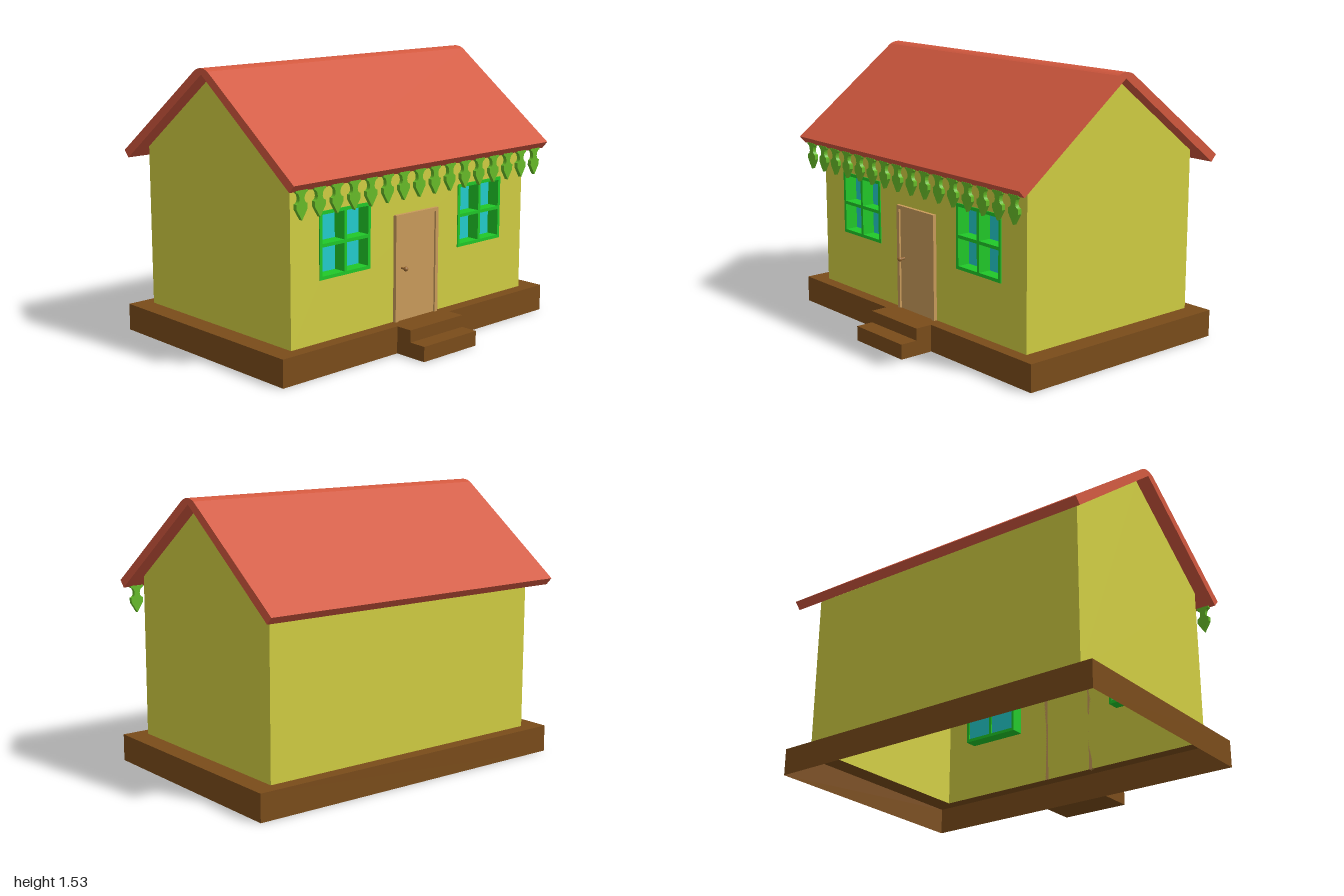
import * as THREE from 'three';

const mat = (color, side = THREE.FrontSide) => new THREE.MeshStandardMaterial({ color, side });

const polygon = (pts) => new THREE.Shape(pts.map(([x, y]) => new THREE.Vector2(x, y)));
const rect = (x0, y0, x1, y1) => polygon([[x0, y0], [x1, y0], [x1, y1], [x0, y1]]);

function add(parent, name, geometry, material, x = 0, y = 0, z = 0) {
  const mesh = new THREE.Mesh(geometry, material);
  mesh.name = name;
  mesh.position.set(x, y, z);
  parent.add(mesh);
  return mesh;
}

// Extrudes a profile centred on the extrusion axis
function slab(shape, depth, curveSegments = 8) {
  return new THREE.ExtrudeGeometry(shape, { depth, bevelEnabled: false, curveSegments }).translate(0, 0, -depth / 2);
}
// Turns a piece drawn in the xy plane so it faces +x
const faceSide = (geometry) => geometry.rotateY(Math.PI / 2);

export function createModel() {
  const house = new THREE.Group();
  house.name = 'house';

  const wallMat = mat(0xd0cd42, THREE.DoubleSide);
  const baseMat = mat(0x7a4c1a, THREE.DoubleSide);
  const roofMat = mat(0xd2583e);
  const frameMat = mat(0x20c828);
  const glassMat = mat(0x22cccc, THREE.DoubleSide);
  const doorMat = mat(0xc99b5a);
  const knobMat = mat(0x9a6a34);
  const leafMat = mat(0x66bb28);

  const wallL = -0.665, wallR = 0.52, wallZ = 0.885;
  const floorY = 0.15, eaveY = 1.045, ridgeX = -0.073, ridgeY = 1.492;
  const windowZ = 0.515, windowY = 0.657, windowHalf = 0.178;

  // Plinth: hollow skirt with a top ledge around the walls
  const plinth = new THREE.Group();
  plinth.name = 'plinth';
  house.add(plinth);
  const baseL = -0.74, baseR = 0.592, baseMid = (baseL + baseR) / 2;
  for (const s of [-1, 1]) {
    add(plinth, 'plinthEnd', new THREE.PlaneGeometry(baseR - baseL, floorY), baseMat, baseMid, floorY / 2, s);
    add(plinth, 'plinthSide', faceSide(new THREE.PlaneGeometry(2, floorY)), baseMat, s > 0 ? baseR : baseL, floorY / 2, 0);
  }
  const ledge = rect(baseL, -1, baseR, 1);
  ledge.holes.push(rect(wallL, -wallZ, wallR, wallZ));
  add(plinth, 'plinthLedge', new THREE.ShapeGeometry(ledge).rotateX(-Math.PI / 2), baseMat, 0, floorY, 0);

  // Entrance steps
  const steps = polygon([[baseR, 0], [0.79, 0], [0.79, 0.083], [0.69, 0.083], [0.69, floorY], [baseR, floorY]]);
  add(house, 'steps', slab(steps, 0.405), baseMat);

  // Thin walls: two gables, a plain side and a side with window openings
  const walls = new THREE.Group();
  walls.name = 'walls';
  house.add(walls);
  const gable = polygon([[wallL, floorY], [wallR, floorY], [wallR, eaveY], [ridgeX, ridgeY], [wallL, eaveY]]);
  for (const s of [-1, 1]) add(walls, 'gableWall', new THREE.ShapeGeometry(gable), wallMat, 0, 0, s * wallZ);
  const sideWall = rect(-wallZ, floorY, wallZ, eaveY);
  add(walls, 'plainWall', faceSide(new THREE.ShapeGeometry(sideWall)), wallMat, wallL);
  const entranceWall = sideWall.clone();
  for (const s of [-1, 1]) {
    const c = s * windowZ, h = windowHalf - 0.008;
    entranceWall.holes.push(rect(c - h, windowY - h, c + h, windowY + h));
  }
  add(walls, 'entranceWall', faceSide(new THREE.ShapeGeometry(entranceWall)), wallMat, wallR);

  // Roof: one folded slab with a rounded ridge
  const roof = new THREE.Shape();
  roof.moveTo(-0.755, 0.98);
  roof.lineTo(ridgeX, ridgeY + 0.002);
  roof.lineTo(0.608, 0.98);
  roof.lineTo(0.642, 1.018);
  roof.lineTo(-0.02, 1.513);
  roof.quadraticCurveTo(ridgeX, 1.54, ridgeX - 0.053, 1.513);
  roof.lineTo(-0.79, 1.018);
  add(house, 'roof', slab(roof, 1.925), roofMat);

  // Four-pane windows with deep reveals
  const frame = rect(-windowHalf, -windowHalf, windowHalf, windowHalf);
  for (const sx of [-1, 1]) for (const sy of [-1, 1]) {
    const [a, b] = [0.009, windowHalf - 0.018];
    frame.holes.push(rect(Math.min(sx * a, sx * b), Math.min(sy * a, sy * b), Math.max(sx * a, sx * b), Math.max(sy * a, sy * b)));
  }
  for (const s of [-1, 1]) {
    const win = new THREE.Group();
    win.name = 'window';
    win.position.set(0, windowY, s * windowZ);
    house.add(win);
    add(win, 'windowFrame', faceSide(slab(frame, 0.08)), frameMat, 0.485);
    add(win, 'windowGlass', faceSide(new THREE.PlaneGeometry(0.34, 0.34)), glassMat, 0.452);
  }

  // Door with surround, recessed panel and knob
  const door = new THREE.Group();
  door.name = 'door';
  house.add(door);
  const surround = polygon([[-0.163, floorY], [-0.142, floorY], [-0.142, 0.717], [0.142, 0.717],
    [0.142, floorY], [0.163, floorY], [0.163, 0.737], [-0.163, 0.737]]);
  add(door, 'doorSurround', faceSide(slab(surround, 0.02)), doorMat, 0.53);
  add(door, 'doorPanel', new THREE.BoxGeometry(0.008, 0.567, 0.284), doorMat, 0.525, 0.4335, 0);
  add(door, 'knobStem', new THREE.CylinderGeometry(0.006, 0.006, 0.035, 12).rotateZ(Math.PI / 2), knobMat, 0.543, 0.442, 0.11);
  add(door, 'knob', new THREE.SphereGeometry(0.013, 16, 12), knobMat, 0.561, 0.442, 0.11);

  // Row of hanging leaf ornaments under the eave
  const leaf = new THREE.Shape();
  leaf.moveTo(0, 0.835);
  leaf.lineTo(0.036, 0.892);
  leaf.lineTo(0.036, 0.918);
  leaf.quadraticCurveTo(0.018, 0.922, 0.016, 0.942);
  leaf.quadraticCurveTo(0.018, 0.972, 0.038, 0.976);
  leaf.lineTo(0.038, 0.986);
  leaf.lineTo(-0.038, 0.986);
  leaf.lineTo(-0.038, 0.976);
  leaf.quadraticCurveTo(-0.018, 0.972, -0.016, 0.942);
  leaf.quadraticCurveTo(-0.018, 0.922, -0.036, 0.918);
  leaf.lineTo(-0.036, 0.892);
  const leafGeometry = faceSide(slab(leaf, 0.022, 5));
  const trim = new THREE.Group();
  trim.name = 'eaveTrim';
  house.add(trim);
  for (let i = 0; i < 16; i++) add(trim, 'leaf', leafGeometry, leafMat, 0.604, 0, 0.8875 - i * 0.11833);

  return house;
}
